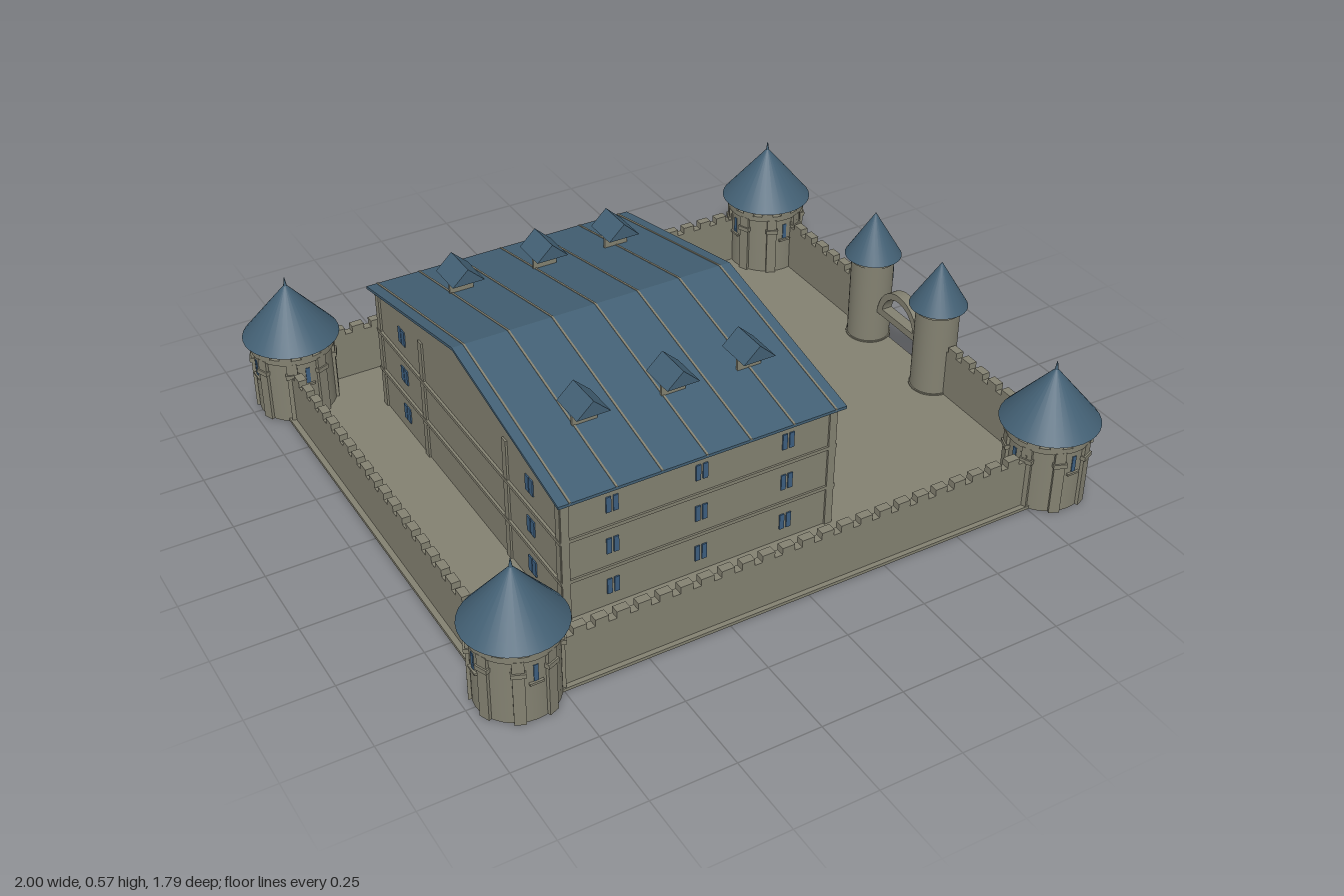
import * as THREE from 'three';

const mat = (name, color, side = THREE.FrontSide) => {
  const m = new THREE.MeshStandardMaterial({ color, side });
  m.name = name;
  return m;
};

export function createModel() {
  const stone = mat('stone', 0x838171);
  const slate = mat('roof slate', 0x436074);
  const glass = mat('window blue', 0x3d5f80);
  const dark = mat('dark metal', 0x3a3a36);
  const root = new THREE.Group();
  root.name = 'castle';

  const add = (parent, name, geo, material, x = 0, y = 0, z = 0) => {
    const m = new THREE.Mesh(geo, material);
    m.name = name;
    m.position.set(x, y, z);
    parent.add(m);
    return m;
  };
  // box given by its base height
  const box = (parent, name, material, w, h, d, x, y, z) =>
    add(parent, name, new THREE.BoxGeometry(w, h, d), material, x, y + h / 2, z);
  const cyl = (parent, name, material, r, h, y, seg = 32, top = r) =>
    add(parent, name, new THREE.CylinderGeometry(top, r, h, seg), material, 0, y + h / 2, 0);
  const group = (parent, name, x = 0, y = 0, z = 0, ry = 0) => {
    const g = new THREE.Group();
    g.name = name;
    g.position.set(x, y, z);
    g.rotation.y = ry;
    parent.add(g);
    return g;
  };
  // profile in (z, y) extruded towards +x
  const extrudeX = (shape, length) =>
    new THREE.ExtrudeGeometry(shape, { depth: length, bevelEnabled: false, curveSegments: 24 }).rotateY(Math.PI / 2);
  const poly = (pts) => new THREE.Shape(pts.map(([a, b]) => new THREE.Vector2(a, b)));

  // courtyard slab
  box(root, 'courtyard', stone, 1.844, 0.01, 1.63, 0, 0, 0);

  // curtain walls with merlons, built along local x
  const wall = (name, length, x, z, ry) => {
    const g = group(root, name, x, 0, z, ry);
    box(g, 'wallBody', stone, length, 0.165, 0.026, 0, 0, 0);
    const n = Math.round(length / 0.062);
    const step = length / n;
    for (let i = 0; i < n; i++)
      box(g, 'merlon', stone, step * 0.62, 0.022, 0.026, -length / 2 + (i + 0.5) * step, 0.164, 0);
  };
  wall('frontWall', 1.7, 0, 0.787, 0);
  wall('backWall', 1.7, 0, -0.787, 0);
  wall('rightWall', 1.5, -0.892, 0, Math.PI / 2);
  for (const s of [-1, 1]) wall('gateWall', 0.58, 0.892, s * 0.46, Math.PI / 2);

  // corner towers
  const cornerTower = (x, z) => {
    const g = group(root, 'cornerTower', x, 0, z);
    cyl(g, 'towerBody', stone, 0.118, 0.215, 0);
    cyl(g, 'towerRing', stone, 0.126, 0.018, 0.206);
    for (let i = 0; i < 8; i++) {
      const spoke = group(g, 'towerSide', 0, 0, 0, (i + 0.5) * Math.PI / 4);
      box(spoke, 'pilaster', stone, 0.032, 0.21, 0.02, 0, 0, 0.116);
      box(spoke, 'bracket', stone, 0.04, 0.014, 0.026, 0, 0.16, 0.118);
    }
    for (let i = 0; i < 12; i++) {
      const spoke = group(g, 'battlement', 0, 0, 0, i * Math.PI / 6);
      box(spoke, 'merlon', stone, 0.036, 0.016, 0.02, 0, 0.222, 0.116);
    }
    for (let i = 0; i < 4; i++) {
      const spoke = group(g, 'arrowSlit', 0, 0, 0, i * Math.PI / 2);
      box(spoke, 'slit', glass, 0.013, 0.052, 0.006, 0, 0.133, 0.117);
      box(spoke, 'slitSill', stone, 0.04, 0.007, 0.012, 0, 0.124, 0.118);
    }
    cyl(g, 'innerDrum', stone, 0.1, 0.03, 0.22);
    cyl(g, 'towerRoof', slate, 0.146, 0.17, 0.245, 32, 0.004);
    cyl(g, 'finial', slate, 0.006, 0.03, 0.41, 10, 0.001);
  };
  for (const x of [-0.854, 0.854]) for (const z of [-0.75, 0.75]) cornerTower(x, z);

  // gate towers with a shield on the outer side
  const shield = poly([[-0.021, 0.245], [-0.021, 0.19], [0, 0.168], [0.021, 0.19], [0.021, 0.245]]);
  for (const s of [-1, 1]) {
    const g = group(root, 'gateTower', 0.885, 0, s * 0.172);
    cyl(g, 'gateTowerBody', stone, 0.068, 0.3, 0);
    cyl(g, 'gateTowerBand', stone, 0.072, 0.012, 0.285);
    cyl(g, 'gateTowerFoot', stone, 0.072, 0.014, 0);
    cyl(g, 'gateTowerRoof', slate, 0.09, 0.147, 0.302, 32, 0.001);
    add(g, 'shield', extrudeX(shield, 0.008), glass, 0.063);
    box(g, 'crossUpright', stone, 0.003, 0.054, 0.007, 0.071, 0.184, 0);
    box(g, 'crossBar', stone, 0.003, 0.007, 0.03, 0.071, 0.214, 0);
  }

  // open arch and lintel between the gate towers
  const arch = new THREE.Shape();
  arch.absarc(0, 0, 0.104, 0, Math.PI, false);
  arch.absarc(0, 0, 0.082, Math.PI, 0, true);
  add(root, 'gateArch', extrudeX(arch, 0.036), stone, 0.867, 0.132, 0);
  box(root, 'gateLintel', stone, 0.036, 0.024, 0.22, 0.885, 0.122, 0);

  // keep: gabled body plus an end wall with a door opening
  const keep = group(root, 'keep');
  const gable = () => poly([[-0.585, 0], [0.585, 0], [0.585, 0.415], [0, 0.546], [-0.585, 0.415]]);
  add(keep, 'keepBody', extrudeX(gable(), 0.825), stone, -0.63);
  const doorWall = gable();
  doorWall.holes.push(poly([[-0.07, 0.01], [-0.07, 0.11], [0.07, 0.11], [0.07, 0.01]]));
  add(keep, 'doorWall', extrudeX(doorWall, 0.025), stone, 0.195);
  box(keep, 'doorHandle', dark, 0.012, 0.012, 0.02, 0.201, 0.02, -0.032);

  // floor ledges and pilasters
  for (const y of [0.135, 0.272])
    box(keep, 'ledge', stone, 0.866, 0.011, 1.182, -0.205, y, 0);
  for (const x of [-0.63, 0.22]) {
    for (const z of [-0.575, -0.27, 0.27, 0.575])
      box(keep, 'pilaster', stone, 0.012, 0.413, 0.024, x, 0, z);
  }
  for (const z of [-0.585, 0.585]) {
    box(keep, 'eaveLedge', stone, 0.866, 0.012, 0.012, -0.205, 0.402, z);
    for (const x of [-0.622, 0.212]) box(keep, 'cornerPilaster', stone, 0.024, 0.41, 0.012, x, 0, z);
  }

  // paired windows on all four sides, three floors
  const windowPair = (x, y, z, ry, w, gap) => {
    const g = group(keep, 'window', x, y, z, ry);
    for (const s of [-1, 1]) box(g, 'pane', glass, w, 0.05, 0.006, s * (w + gap) / 2, 0, 0);
  };
  for (const y of [0.05, 0.188, 0.326]) {
    for (const s of [-1, 1]) {
      for (const x of [-0.48, -0.207, 0.067]) windowPair(x, y, s * 0.586, 0, 0.015, 0.007);
      windowPair(0.221, y, s * 0.41, Math.PI / 2, 0.02, 0.003);
      windowPair(-0.631, y, s * 0.41, Math.PI / 2, 0.02, 0.003);
    }
  }

  // pitched roof with raised seams
  const roofBand = (lift, thick) => poly([
    [-0.612, 0.412 + lift], [0, 0.546 + lift], [0.612, 0.412 + lift],
    [0.612, 0.412 + lift + thick], [0, 0.546 + lift + thick], [-0.612, 0.412 + lift + thick]]);
  add(keep, 'roof', extrudeX(roofBand(0, 0.009), 0.888), slate, -0.65);
  for (let i = 0; i < 7; i++)
    add(keep, 'roofSeam', extrudeX(roofBand(0.006, 0.005), 0.006), stone, -0.618 + i * 0.1365);

  // dormers: upright panel under a small pitched roof
  const dormerRoof = new THREE.ExtrudeGeometry(poly([[-0.051, 0], [0.051, 0], [0, 0.048]]),
    { depth: 0.114, bevelEnabled: false }).translate(0, 0, -0.057);
  for (const x of [-0.447, -0.174, 0.067]) {
    for (const s of [-1, 1]) {
      const g = group(keep, 'dormer', x, 0, s * 0.377);
      box(g, 'dormerPanel', stone, 0.076, 0.065, 0.008, 0, 0.46, 0);
      add(g, 'dormerRoof', dormerRoof, slate, 0, 0.523, 0);
    }
  }
  return root;
}
